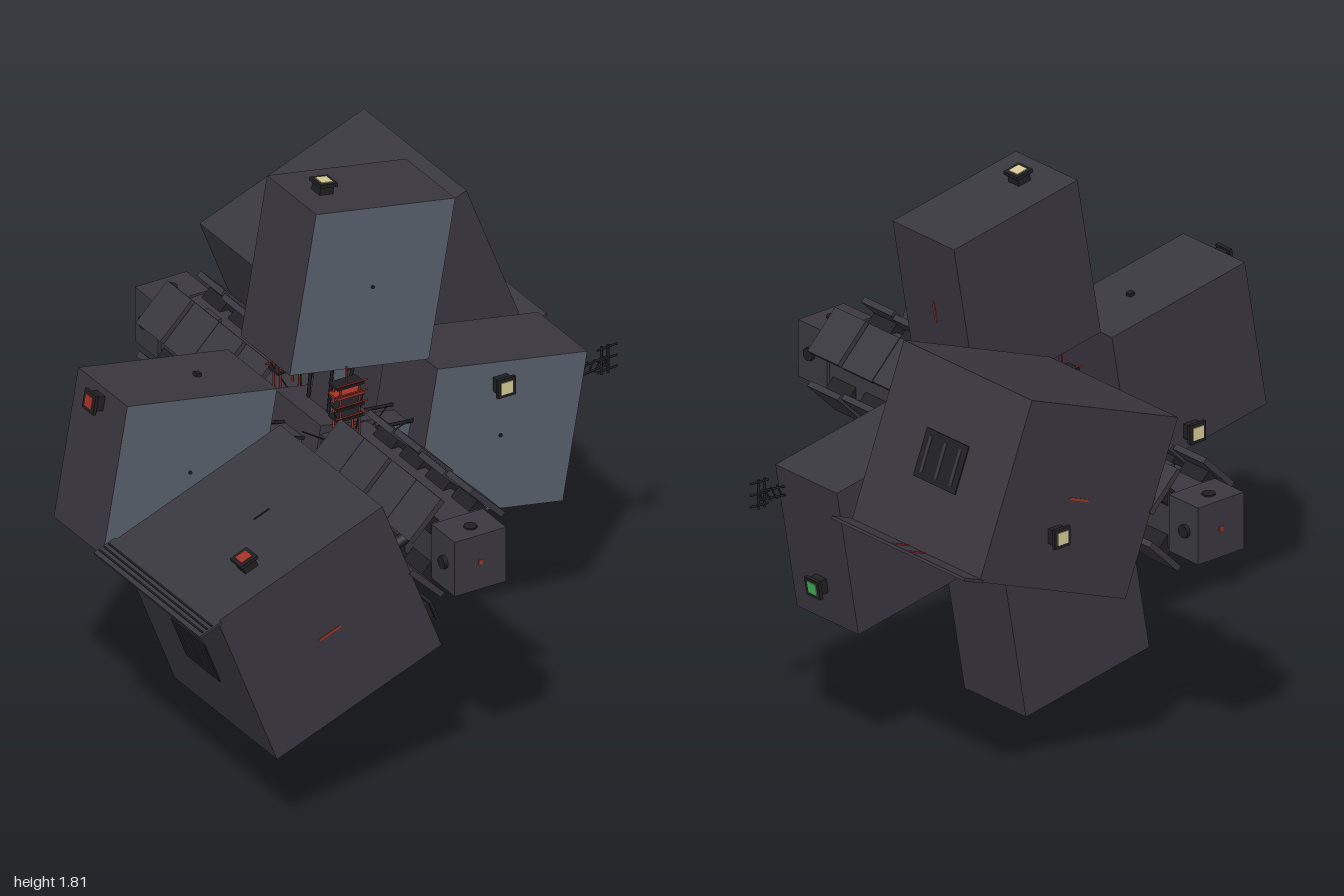
import * as THREE from 'three';

const AX = -0.045, AY = 0.9; // long axis of the station
const mat = (name, color) => {
  const m = new THREE.MeshStandardMaterial({ color });
  m.name = name;
  return m;
};

export function createModel() {
  const model = new THREE.Group();
  model.name = 'spaceStation';
  const hull = mat('dark hull', 0x3a383f);
  const blue = mat('blue grey plating', 0x59616c);
  const trim = mat('black trim', 0x202024);
  const red = mat('signal red', 0xa03428);
  const green = mat('lamp green', 0x46b35c);
  const cream = mat('lamp cream', 0xd8cc96);
  const steel = mat('steel', 0x56606b);

  const box = (name, m, w, h, d, x, y, z, rot = 0, parent = model) => {
    const b = new THREE.Mesh(new THREE.BoxGeometry(w, h, d), m);
    b.name = name;
    b.position.set(x, y, z);
    b.rotation.z = rot;
    parent.add(b);
    return b;
  };
  const rod = (name, m, a, b, r = 0.003, sides = 5) => {
    const p = new THREE.Vector3(...a), q = new THREE.Vector3(...b);
    const dir = q.clone().sub(p);
    const c = new THREE.Mesh(new THREE.CylinderGeometry(r, r, dir.length(), sides), m);
    c.name = name;
    c.position.copy(p).add(q).multiplyScalar(0.5);
    c.quaternion.setFromUnitVectors(new THREE.Vector3(0, 1, 0), dir.normalize());
    model.add(c);
  };
  // Square floodlight: housing, rim and lit pane facing the given normal
  const lamp = (m, x, y, z, nx, ny, nz) => {
    const g = new THREE.Group();
    g.name = 'floodlight';
    box('lampHousing', trim, 0.05, 0.03, 0.05, 0, 0.015, 0, 0, g);
    box('lampRim', trim, 0.066, 0.012, 0.066, 0, 0.036, 0, 0, g);
    box('lampPane', m, 0.042, 0.004, 0.042, 0, 0.043, 0, 0, g);
    g.position.set(x, y, z);
    g.quaternion.setFromUnitVectors(new THREE.Vector3(0, 1, 0), new THREE.Vector3(nx, ny, nz).normalize());
    model.add(g);
  };
  const polar = (r, a) => [AX + r * Math.cos(a), AY + r * Math.sin(a)];

  // Spine with end caps and docking ports
  box('spine', hull, 0.17, 0.18, 1.84, AX, AY, 0);
  for (const s of [-1, 1]) {
    box('spineEnd', hull, 0.19, 0.195, 0.14, AX, AY, s * 0.89);
    rod('verticalPort', trim, [AX, AY - 0.103, s * 0.9], [AX, AY + 0.103, s * 0.9], 0.022, 12);
    rod('sidePort', trim, [AX - 0.108, AY, s * 0.9], [AX + 0.108, AY, s * 0.9], 0.022, 12);
    box('endMark', red, 0.016, 0.016, 0.004, AX, AY, s * 0.961);
    // Slanted armour plates along the four corners of each half
    for (let i = 0; i < 4; i++) {
      const z = s * (0.28 + i * 0.156);
      for (let k = 0; k < 4; k++) {
        const a = Math.PI / 4 + (k * Math.PI) / 2;
        const [x, y] = polar(0.15 + (i % 2) * 0.008, a);
        box('armourPlate', hull, 0.02, 0.165, 0.146, x, y, z, a);
        const [bx, by] = polar(0.12, a);
        box('plateBracket', trim, 0.05, 0.05, 0.11, bx, by, z, a);
      }
    }
    // Red lattice tower beside the hub
    for (const dx of [-0.035, 0.035]) {
      for (const dz of [-0.02, 0.02]) {
        rod('towerLeg', red, [AX - 0.015 + dx, 0.98, s * 0.18 + dz], [AX - 0.015 + dx, 1.17, s * 0.18 + dz], 0.004);
      }
    }
    for (const y of [1.06, 1.1, 1.14, 1.175]) {
      box('towerDeck', y === 1.14 ? red : trim, 0.1, 0.008, 0.055, AX - 0.015, y, s * 0.18);
      rod('towerRail', red, [-0.12, y + 0.012, s * 0.21], [0, y + 0.012, s * 0.21]);
    }
    rod('towerMast', red, [-0.06, 1.17, s * 0.18], [-0.06, 1.235, s * 0.18]);
    // Thin aerials fanning out around the hub
    for (let i = 0; i < 12; i++) {
      const a = (i / 12) * Math.PI * 2 + 0.2;
      const [x, y] = polar(0.09, a), [u, v] = polar(i % 2 ? 0.2 : 0.24, a + 0.15);
      rod('aerial', trim, [x, y, s * 0.165], [u, v, s * 0.19], 0.0025);
    }
  }
  box('hub', hull, 0.21, 0.21, 0.28, AX, AY, 0, -Math.PI / 18);

  // Four ring modules on spokes, front faces plated
  const skin = [hull, hull, hull, hull, blue, hull];
  for (let k = 0; k < 4; k++) {
    const a = -Math.PI / 18 + (k * Math.PI) / 2;
    const [x, y] = polar(0.58, a);
    box('ringModule', skin, 0.56, 0.52, 0.295, x, y, 0, a);
    const [sx, sy] = polar(0.2, a);
    box('spoke', [hull, hull, hull, hull, steel, hull], 0.28, 0.055, 0.1, sx, sy, 0, a);
    for (const t of [-0.045, 0.045]) {
      const [p, q] = polar(0.1, a + t * 6), [u, v] = polar(0.32, a + t * 3);
      for (const z of [-0.06, 0.06]) rod('spokeBrace', trim, [p, q, z], [u, v, z], 0.006);
    }
    rod('frontFitting', trim, [x, y, 0.14], [x, y, 0.153], 0.006, 8);
  }

  // Two large cargo modules, half a turn apart around the axis
  const tilt = Math.atan2(0.235, 0.605);
  for (const s of [1, -1]) {
    const g = new THREE.Group();
    g.name = s > 0 ? 'frontCargoModule' : 'rearCargoModule';
    g.position.set(AX - s * 0.4675, AY - s * 0.1875, s * 0.51);
    g.rotation.z = tilt + (s > 0 ? 0 : Math.PI);
    model.add(g);
    box('cargoHull', hull, 0.65, 0.602, 0.615, 0, 0, 0, 0, g);
    box('edgeFlap', hull, 0.085, 0.01, 0.635, -0.362, 0.296, 0, 0, g);
    for (let i = 0; i < 3; i++) {
      box('flapSlat', trim, 0.006, 0.004, 0.62, -0.35 - i * 0.018, 0.302, 0, 0, g);
    }
    // Recessed-looking hatch on the outer side
    box('hatch', trim, 0.006, 0.16, 0.2, -0.326, 0.0, 0, 0, g);
    for (const z of [-0.07, 0, 0.07]) {
      box('hatchBar', hull, 0.008, 0.12, 0.012, -0.327, 0, z, 0, g);
    }
    box('redStripe', red, 0.085, 0.008, 0.004, 0, 0, s * 0.308, 0, g);
    box('roofSeam', trim, 0.06, 0.004, 0.004, 0.05, 0.302, 0, 0, g);
    for (const x of [-0.15, 0, 0.15]) {
      rod('connector', trim, [AX - s * 0.05, AY - s * 0.02, s * (0.5 + x)], [AX - s * 0.26, AY - s * 0.1, s * (0.5 + x)], 0.02, 8);
    }
  }
  // Red outline on the rear flap
  for (const z of [-0.56, -0.48]) box('flapMark', red, 0.07, 0.004, 0.004, 0.872, 0.952, z, tilt);

  // Floodlights
  const c = Math.cos(Math.PI / 18), n = Math.sin(Math.PI / 18);
  const ct = Math.cos(tilt), st = Math.sin(tilt);
  lamp(cream, -0.04, 1.77, 0, n, c, 0);
  lamp(green, 0.278, 1.25, 0, c, -n, 0);
  lamp(green, 0.78, 0.63, 0, c, -n, 0);
  lamp(red, -0.857, 1.26, 0, -c, n, 0);
  lamp(cream, 0.525, 0.99, 0.147, 0, 0, 1);
  lamp(cream, -0.617, 0.8, -0.147, 0, 0, -1);
  lamp(cream, 0.525, 1.0, -0.817, 0, 0, -1);
  lamp(red, -0.73, 0.95, 0.68, -st, ct, 0);
  lamp(green, -0.135, 0.64, 0.74, ct, st, 0);

  // Red stripe on the upper module and short seams on the ring
  box('sideStripe', red, 0.004, 0.075, 0.008, 0.313, 1.425, 0, -Math.PI / 18);
  box('roofSeam', steel, 0.1, 0.004, 0.006, 0.6, 1.046, 0, -Math.PI / 18);
  box('roofSeam', steel, 0.1, 0.004, 0.006, -0.56, 1.248, 0, -Math.PI / 18);
  box('roofPost', trim, 0.02, 0.02, 0.02, -0.5, 1.246, 0, -Math.PI / 18);

  // Lattice antenna on the outer edge of the right-hand ring module
  for (const dy of [-0.015, 0.015]) {
    rod('boom', trim, [0.82, 0.92 + dy, 0.12], [0.94, 0.935 + dy, 0.12], 0.004);
  }
  for (let i = 0; i < 4; i++) {
    const x = 0.84 + i * 0.025;
    rod('boomBrace', trim, [x, 0.905, 0.12], [x + 0.025, 0.95, 0.12], 0.003);
  }
  for (const x of [0.915, 0.94]) rod('antennaMast', trim, [x, 0.89, 0.12], [x, 0.99, 0.12], 0.005);
  for (const y of [0.9, 0.94, 0.98]) rod('antennaBar', trim, [0.9, y, 0.12], [0.975, y + 0.005, 0.12], 0.004);

  // Side dish and boxes on the spine
  rod('sideBoom', trim, [-0.13, 0.93, -0.49], [-0.31, 0.93, -0.49], 0.005);
  box('sideSensor', trim, 0.035, 0.035, 0.035, -0.24, 0.93, -0.49);
  box('spineBox', hull, 0.05, 0.04, 0.08, -0.06, 1.0, -0.65);
  box('spineBox', steel, 0.03, 0.1, 0.035, 0.09, 0.78, 0.125);
  box('spineSeam', steel, 0.005, 0.004, 0.08, AX, 0.992, 0.51);
  return model;
}
